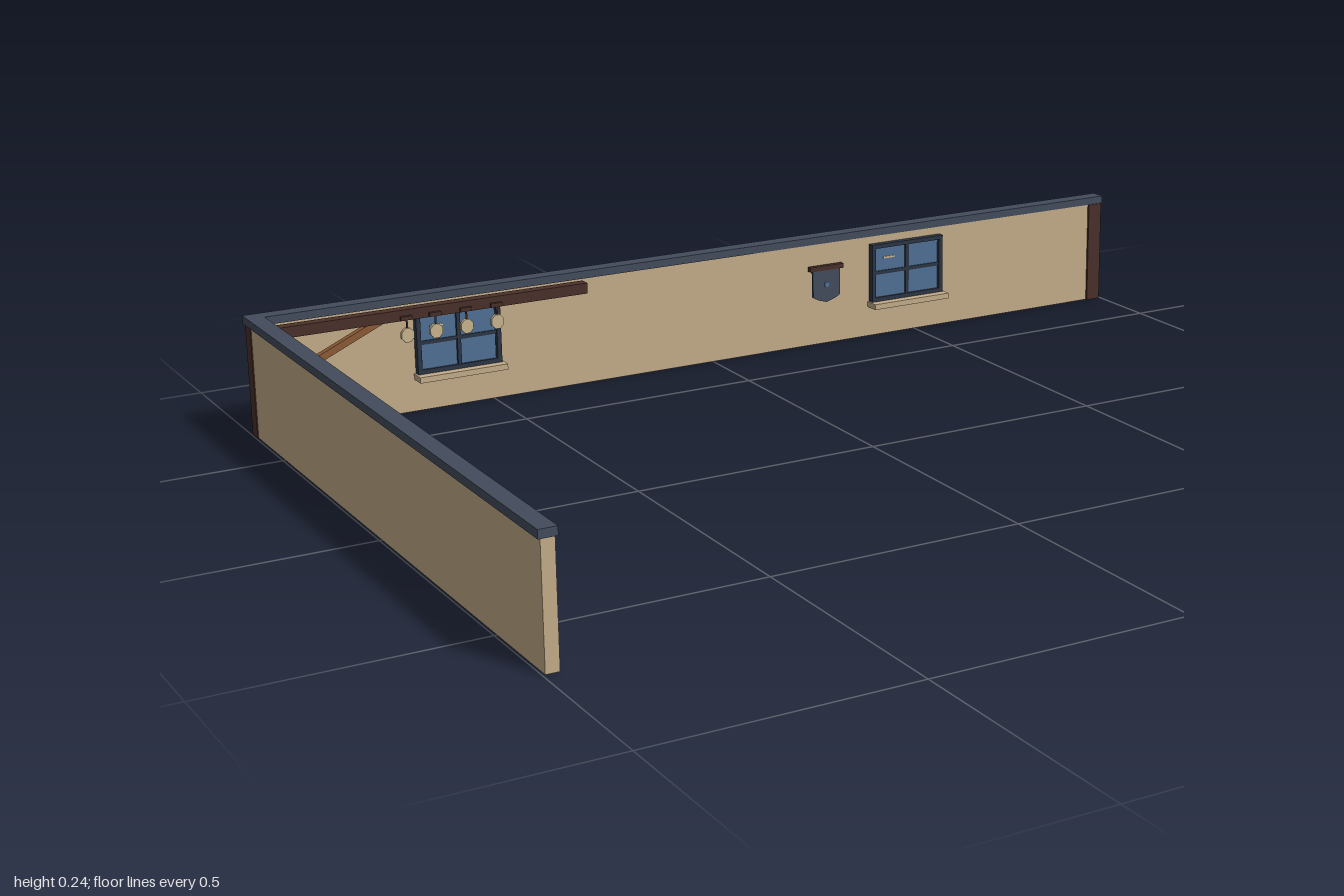
import * as THREE from 'three';

export function createModel() {
  const model = new THREE.Group();
  const mat = (name, color) => {
    const m = new THREE.MeshStandardMaterial({ color });
    m.name = name;
    return m;
  };
  const plaster = mat('plaster', 0xc4ad8a);
  const slate = mat('slate', 0x434c5d);
  const darkWood = mat('dark wood', 0x4a3029);
  const lightWood = mat('light wood', 0x8d5b36);
  const frameMat = mat('window frame', 0x2c3645);
  const glass = mat('glass', 0x4f7195);
  const pale = mat('pale tag', 0xc9b68f);

  // Box given by its minimum and maximum corners
  const box = (parent, name, m, [x0, y0, z0], [x1, y1, z1]) => {
    const mesh = new THREE.Mesh(new THREE.BoxGeometry(x1 - x0, y1 - y0, z1 - z0), m);
    mesh.position.set((x0 + x1) / 2, (y0 + y1) / 2, (z0 + z1) / 2);
    mesh.name = name;
    parent.add(mesh);
    return mesh;
  };

  // Two walls meeting at the back corner
  box(model, 'backWall', plaster, [-0.995, 0, -0.685], [0.99, 0.224, -0.66]);
  box(model, 'sideWall', plaster, [-0.995, 0, -0.66], [-0.97, 0.224, 0.685]);

  // Coping along the wall tops
  box(model, 'backCoping', slate, [-1, 0.223, -0.69], [1, 0.239, -0.657]);
  box(model, 'sideCoping', slate, [-1, 0.223, -0.657], [-0.966, 0.239, 0.688]);

  // Posts at the corner and at the free end
  box(model, 'cornerPost', darkWood, [-0.997, 0, -0.684], [-0.965, 0.223, -0.655]);
  box(model, 'endPost', darkWood, [0.963, 0, -0.684], [0.996, 0.223, -0.655]);

  // Beam with a slanted brace
  box(model, 'beam', darkWood, [-0.952, 0.201, -0.645], [-0.303, 0.223, -0.622]);
  const dx = 0.215, dy = 0.096;
  const brace = new THREE.Mesh(new THREE.BoxGeometry(Math.hypot(dx, dy), 0.014, 0.014), lightWood);
  brace.position.set(-0.845, 0.16, -0.634);
  brace.rotation.z = Math.atan2(dy, dx);
  brace.name = 'brace';
  model.add(brace);

  // Windows: back panel, four panes, frame bars, sill and a small glint
  const addWindow = (x) => {
    const g = new THREE.Group();
    g.name = 'window';
    g.position.set(x, 0.142, -0.66);
    const w = 0.09, h = 0.064, b = 0.009;
    box(g, 'windowBack', frameMat, [-w, -h, 0], [w, h, 0.005]);
    for (const sx of [-1, 1]) {
      for (const sy of [-1, 1]) {
        const cx = sx * 0.042, cy = sy * 0.0295;
        box(g, 'pane', glass, [cx - 0.037, cy - 0.0255, 0.005], [cx + 0.037, cy + 0.0255, 0.009]);
      }
      const jx = sx * (w - b / 2), ry = sx * (h - b / 2);
      box(g, 'jamb', frameMat, [jx - b / 2, -h, 0.005], [jx + b / 2, h, 0.014]);
      box(g, 'rail', frameMat, [-w + b, ry - b / 2, 0.005], [w - b, ry + b / 2, 0.014]);
    }
    box(g, 'mullion', frameMat, [-0.004, -h + b, 0.005], [0.004, h - b, 0.012]);
    box(g, 'crossBar', frameMat, [-w + b, -0.004, 0.005], [w - b, 0.004, 0.0115]);
    box(g, 'glint', pale, [-0.06, 0.03, 0.009], [-0.032, 0.034, 0.0105]);
    box(g, 'sill', plaster, [-0.094, -h - 0.012, 0], [0.094, -h, 0.033]);
    model.add(g);
  };
  [-0.575, 0.475].forEach(addWindow);

  // Tags hanging on hooks from the beam
  for (const x of [-0.695, -0.635, -0.57, -0.505]) {
    const g = new THREE.Group();
    g.name = 'hangingTag';
    g.position.set(x, 0, -0.617);
    box(g, 'hook', darkWood, [-0.012, 0.203, -0.005], [0.012, 0.211, 0.002]);
    box(g, 'cord', darkWood, [-0.0015, 0.186, -0.0015], [0.0015, 0.204, 0.0015]);
    const tag = new THREE.Mesh(new THREE.CylinderGeometry(0.014, 0.014, 0.008, 8), pale);
    tag.geometry.rotateY(Math.PI / 8).rotateX(Math.PI / 2);
    tag.position.y = 0.173;
    tag.scale.y = 1.1;
    tag.name = 'tag';
    g.add(tag);
    model.add(g);
  }

  // Shield-shaped plaque under a short bar
  const shape = new THREE.Shape([
    [-0.033, 0.17], [-0.033, 0.11], [-0.02, 0.103], [0, 0.097],
    [0.02, 0.103], [0.033, 0.11], [0.033, 0.17],
  ].map(([x, y]) => new THREE.Vector2(x, y)));
  const plaque = new THREE.Group();
  plaque.name = 'plaque';
  plaque.position.set(0.268, 0, -0.648);
  const shield = new THREE.Mesh(new THREE.ExtrudeGeometry(shape, { depth: 0.006, bevelEnabled: false }), slate);
  shield.name = 'shield';
  plaque.add(shield);
  box(plaque, 'plaqueBar', darkWood, [-0.041, 0.168, -0.003], [0.041, 0.178, 0.008]);
  const boss = new THREE.Mesh(new THREE.CylinderGeometry(0.006, 0.006, 0.002, 8), glass);
  boss.geometry.rotateX(Math.PI / 2);
  boss.position.set(0, 0.136, 0.007);
  boss.name = 'boss';
  plaque.add(boss);
  model.add(plaque);

  return model;
}
